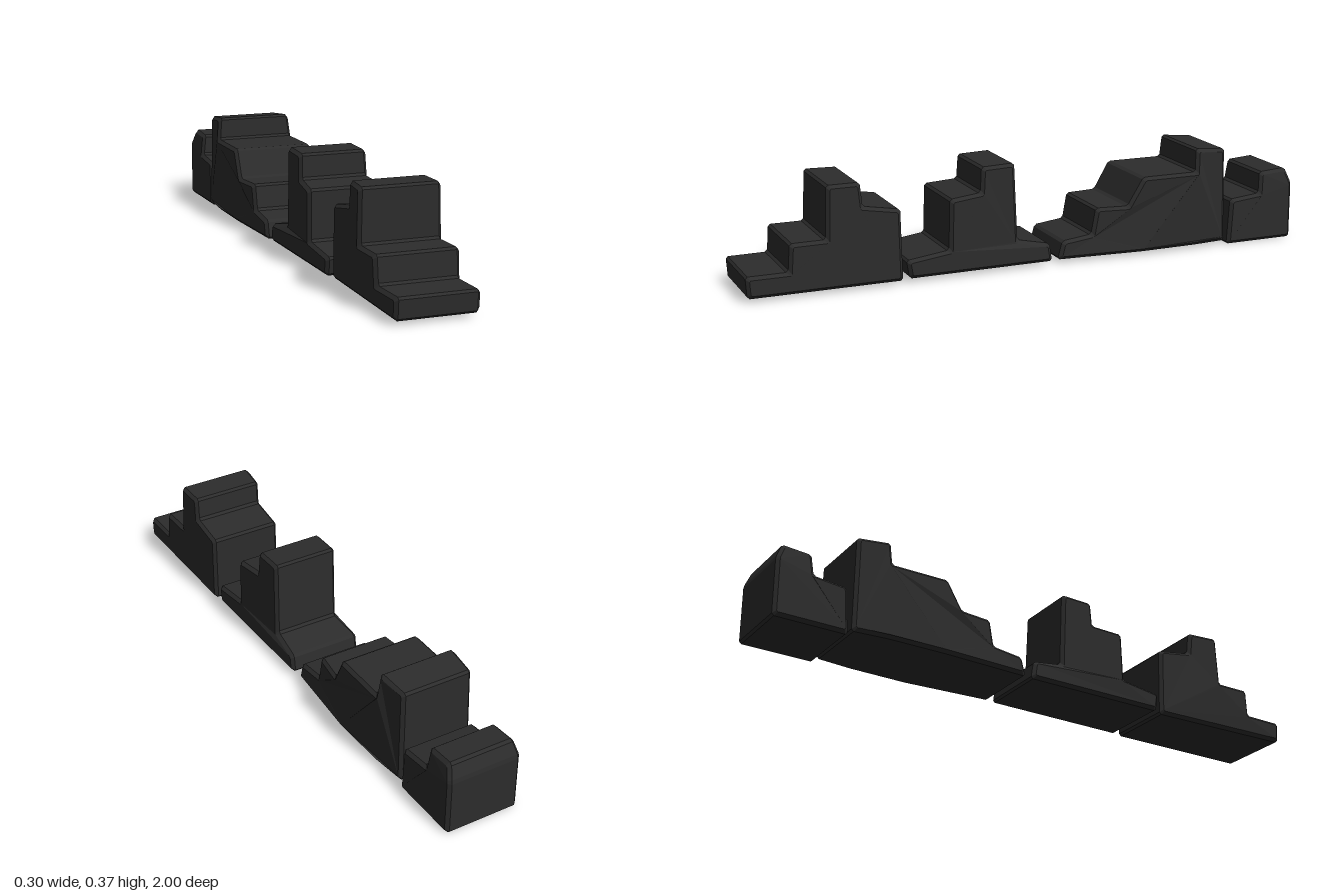
import * as THREE from 'three';

const BEVEL = 0.011;

// Side outlines, counter-clockwise from the right: [z, y, left half width (-x), right half width (+x)]
const BLOCKS = {
  frontBlock: [
    [1, 0.087, 0.135, 0.142], [0.995, 0.013, 0.135, 0.142], [0.475, 0.013, 0.12, 0.142],
    [0.48, 0.255, 0.12, 0.14], [0.607, 0.277, 0.12, 0.14], [0.615, 0.357, 0.122, 0.138],
    [0.727, 0.357, 0.135, 0.138], [0.733, 0.18, 0.14, 0.14], [0.853, 0.18, 0.14, 0.142],
    [0.86, 0.087, 0.138, 0.142]],
  middleBlock: [
    [0.46, 0.077, 0.132, 0.135], [0.45, 0.014, 0.132, 0.135], [-0.065, 0.014, 0.132, 0.13],
    [-0.055, 0.077, 0.132, 0.13], [0.06, 0.1, 0.118, 0.122], [0.07, 0.366, 0.118, 0.118],
    [0.187, 0.362, 0.12, 0.118], [0.193, 0.277, 0.122, 0.122], [0.305, 0.267, 0.135, 0.132],
    [0.31, 0.095, 0.137, 0.132]],
  longBlock: [
    [-0.107, 0.077, 0.137, 0.122], [-0.09, 0.013, 0.137, 0.122], [-0.4, 0.013, 0.148, 0.145],
    [-0.606, 0.013, 0.147, 0.142], [-0.733, 0.013, 0.135, 0.13], [-0.727, 0.347, 0.13, 0.126],
    [-0.609, 0.358, 0.137, 0.137], [-0.604, 0.278, 0.145, 0.147], [-0.4, 0.278, 0.147, 0.147],
    [-0.345, 0.18, 0.15, 0.138], [-0.232, 0.18, 0.138, 0.122], [-0.215, 0.09, 0.137, 0.122]],
  rearBlock: [
    [-0.742, 0, 0.128, 0.136], [-1, 0, 0.128, 0.136], [-1, 0.2, 0.128, 0.136],
    [-0.977, 0.255, 0.116, 0.126], [-0.875, 0.248, 0.116, 0.126], [-0.868, 0.173, 0.126, 0.134],
    [-0.752, 0.162, 0.126, 0.136]],
};

// Move every outline edge inward by d
function inset(points, d) {
  return points.map((p, i) => {
    const a = points.at(i - 1), b = points[(i + 1) % points.length];
    const e1 = new THREE.Vector2(a[0] - p[0], p[1] - a[1]).normalize();
    const e2 = new THREE.Vector2(p[0] - b[0], b[1] - p[1]).normalize();
    const n1 = new THREE.Vector2(-e1.y, e1.x), n2 = new THREE.Vector2(-e2.y, e2.x);
    const m = n1.clone().add(n2).multiplyScalar(d / (1 + n1.dot(n2)));
    return [p[0] - m.x, p[1] + m.y, p[2], p[3]];
  });
}

// Replace each corner with two points a short way along its edges
function cutCorners(points, d) {
  return points.flatMap((p, i) =>
    [points.at(i - 1), points[(i + 1) % points.length]].map((q) => {
      const t = d / Math.hypot(q[0] - p[0], q[1] - p[1]);
      return p.map((v, k) => v + (q[k] - v) * t);
    }));
}

// Bevelled solid: four outline rings from left to right, closed by flat caps
function blockGeometry(outline) {
  const outer = cutCorners(outline, BEVEL * 0.7);
  const inner = cutCorners(inset(outline, BEVEL), BEVEL * 0.4);
  const n = outer.length, position = [], index = [];
  const addRing = (ring, x) => ring.forEach((p) => position.push(x(p), p[1], p[0]));
  addRing(inner, (p) => -p[2]);
  addRing(outer, (p) => -p[2] + BEVEL);
  addRing(outer, (p) => p[3] - BEVEL);
  addRing(inner, (p) => p[3]);
  for (let r = 0; r < 3; r++) {
    for (let i = 0; i < n; i++) {
      const j = (i + 1) % n, a = r * n + i, b = r * n + j, c = a + n, d = b + n;
      index.push(a, b, d, a, d, c);
    }
  }
  const flat = inner.map((p) => new THREE.Vector2(-p[0], p[1]));
  for (const [a, b, c] of THREE.ShapeUtils.triangulateShape(flat, [])) {
    index.push(a, c, b, 3 * n + a, 3 * n + b, 3 * n + c);
  }
  const geometry = new THREE.BufferGeometry();
  geometry.setAttribute('position', new THREE.Float32BufferAttribute(position, 3));
  geometry.setIndex(index);
  const faceted = geometry.toNonIndexed();
  faceted.computeVertexNormals();
  return faceted;
}

export function createModel() {
  const group = new THREE.Group();
  group.name = 'steppedBlocks';
  const stone = new THREE.MeshStandardMaterial({ color: 0x2c2c2c });
  stone.name = 'dark stone';
  // Row of four stepped stones
  for (const [name, outline] of Object.entries(BLOCKS)) {
    const mesh = new THREE.Mesh(blockGeometry(outline), stone);
    mesh.name = name;
    group.add(mesh);
  }
  return group;
}
